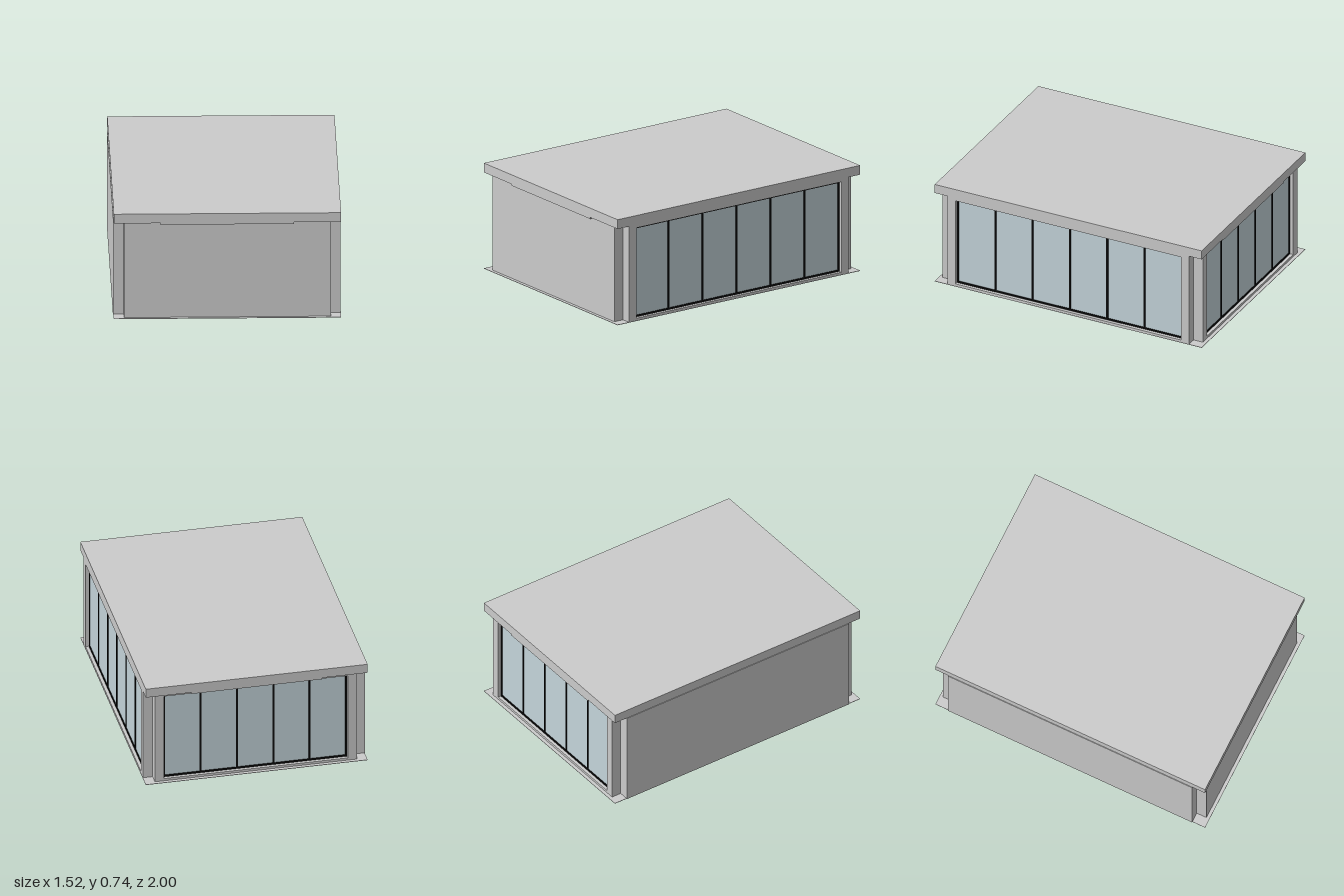
import * as THREE from 'three';

const grey = new THREE.MeshStandardMaterial({ color: 0xcccccc });
const glass = new THREE.MeshStandardMaterial({ color: 0xc4d4da });
const black = new THREE.MeshStandardMaterial({ color: 0x0c0c0c });

const WALL_TOP = 0.675, THICK = 0.07;
const OPEN_BOTTOM = 0.02, OPEN_TOP = 0.653;

// Box given by its minimum and maximum corners
function box(name, min, max, material = grey) {
  const size = max.map((v, i) => v - min[i]);
  const mesh = new THREE.Mesh(new THREE.BoxGeometry(...size), material);
  mesh.position.set(...max.map((v, i) => (v + min[i]) / 2));
  mesh.name = name;
  return mesh;
}

// Wall with a glazed opening; its outer face lies on local z = 0, facing +z
function glazedWall(name, halfWidth, halfOpening, panels) {
  const group = new THREE.Group();
  group.name = name;

  // Surround with a rectangular hole
  const shape = new THREE.Shape([
    new THREE.Vector2(-halfWidth, 0), new THREE.Vector2(halfWidth, 0),
    new THREE.Vector2(halfWidth, WALL_TOP), new THREE.Vector2(-halfWidth, WALL_TOP),
  ]);
  shape.holes.push(new THREE.Path([
    new THREE.Vector2(-halfOpening, OPEN_BOTTOM), new THREE.Vector2(-halfOpening, OPEN_TOP),
    new THREE.Vector2(halfOpening, OPEN_TOP), new THREE.Vector2(halfOpening, OPEN_BOTTOM),
  ]));
  const surround = new THREE.Mesh(
    new THREE.ExtrudeGeometry(shape, { depth: THICK, bevelEnabled: false }), grey);
  surround.position.z = -THICK;
  surround.name = 'wallSurround';
  group.add(surround);

  // Glass panes between black bars
  const bar = 0.012, front = -0.022, back = -0.05;
  const step = (2 * halfOpening - bar) / panels;
  for (let i = 0; i <= panels; i++) {
    const x = -halfOpening + i * step;
    group.add(box('mullion', [x, OPEN_BOTTOM, back], [x + bar, OPEN_TOP, front], black));
    if (i < panels) {
      group.add(box('glassPane', [x + bar, OPEN_BOTTOM + bar, back + 0.01],
        [x + step, OPEN_TOP - bar, front - 0.006], glass));
    }
  }
  for (const y of [OPEN_BOTTOM, OPEN_TOP - bar]) {
    group.add(box('frameRail', [-halfOpening, y, back], [halfOpening, y + bar, front], black));
  }
  return group;
}

export function createModel() {
  const model = new THREE.Group();
  model.name = 'pavilion';

  // Roof and thin floor plate
  model.add(box('roof', [-0.758, WALL_TOP, -1], [0.758, 0.74, 1]));
  model.add(box('floorPlate', [-0.758, 0, -1], [0.758, 0.003, 1]));

  // Solid walls on the front and the -x side
  model.add(box('frontWall', [-0.69, 0, 0.905], [0.69, WALL_TOP, 0.977]));
  model.add(box('sideWall', [-0.762, 0, -0.905], [-0.69, WALL_TOP, 0.905]));

  // Glazed walls on the +x side and the back
  const side = glazedWall('glazedSideWall', 0.905, 0.845, 6);
  side.rotation.y = Math.PI / 2;
  side.position.x = 0.757;
  const back = glazedWall('glazedBackWall', 0.69, 0.628, 5);
  back.rotation.y = Math.PI;
  back.position.z = -0.975;
  model.add(side, back);

  // Shallow strips under the front and back eaves
  for (const s of [-1, 1]) {
    const z = [s * 0.975, s * 0.998].sort((a, b) => a - b);
    model.add(box('eaveStrip', [-0.445, 0.663, z[0]], [0.445, WALL_TOP, z[1]]));
  }
  return model;
}
